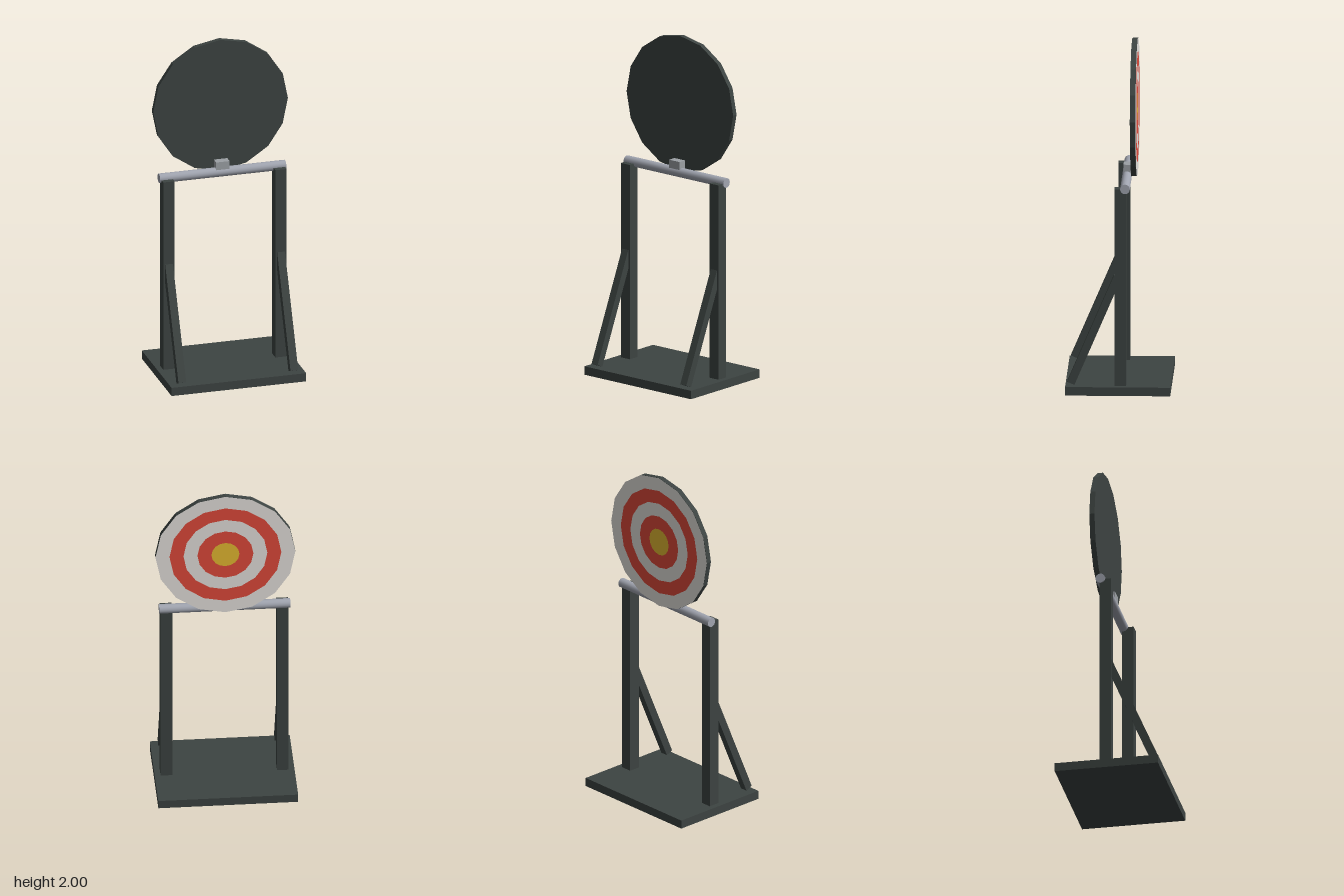
import * as THREE from 'three';

const material = (name, color) => new THREE.MeshStandardMaterial({ name, color });

export function createModel() {
  const dark = material('dark frame', 0x3d4442);
  const steel = material('steel bar', 0xa2a6b1);
  const bracketGrey = material('bracket grey', 0x9ca1a5);
  const white = material('white ring', 0xece9e4);
  const red = material('red ring', 0xe24a3b);
  const yellow = material('yellow centre', 0xefc234);

  const model = new THREE.Group();
  model.name = 'targetStand';

  const add = (name, geometry, mat, x, y, z) => {
    const mesh = new THREE.Mesh(geometry, mat);
    mesh.name = name;
    mesh.position.set(x, y, z);
    model.add(mesh);
    return mesh;
  };

  // Base plate
  add('base', new THREE.BoxGeometry(0.8, 0.05, 0.6), dark, 0, 0.025, 0);

  // Upright posts with slanted braces in front
  const braceTilt = Math.atan2(0.27, 0.63);
  for (const [side, s] of [['left', 1], ['right', -1]]) {
    add(side + 'Post', new THREE.BoxGeometry(0.067, 1.15, 0.067), dark, s * 0.333, 0.625, -0.0135);
    const brace = add(side + 'Brace', new THREE.BoxGeometry(0.046, 0.68, 0.045), dark, s * 0.333, 0.374, 0.135);
    brace.rotation.x = -braceTilt;
  }

  // Crossbar and the bracket holding the disc
  const bar = add('crossbar', new THREE.CylinderGeometry(0.028, 0.028, 0.75, 16), steel, 0, 1.203, -0.041);
  bar.rotation.z = Math.PI / 2;
  add('bracket', new THREE.BoxGeometry(0.08, 0.06, 0.05), bracketGrey, 0, 1.24, -0.046);

  // Sixteen-sided target disc
  const discGeometry = new THREE.CylinderGeometry(0.4, 0.4, 0.03, 16).toNonIndexed();
  discGeometry.computeVertexNormals();
  const disc = add('targetDisc', discGeometry, dark, 0, 1.6, -0.084);
  disc.rotation.x = Math.PI / 2;

  // Painted rings on the back face
  const rings = [[0.32, 0.4, white], [0.24, 0.32, red], [0.16, 0.24, white], [0.08, 0.16, red]];
  rings.forEach(([inner, outer, mat], i) => {
    add('targetRing' + (i + 1), new THREE.RingGeometry(inner, outer, 16), mat, 0, 1.6, -0.101).rotation.y = Math.PI;
  });
  add('bullseye', new THREE.CircleGeometry(0.08, 16), yellow, 0, 1.6, -0.101).rotation.y = Math.PI;

  return model;
}
